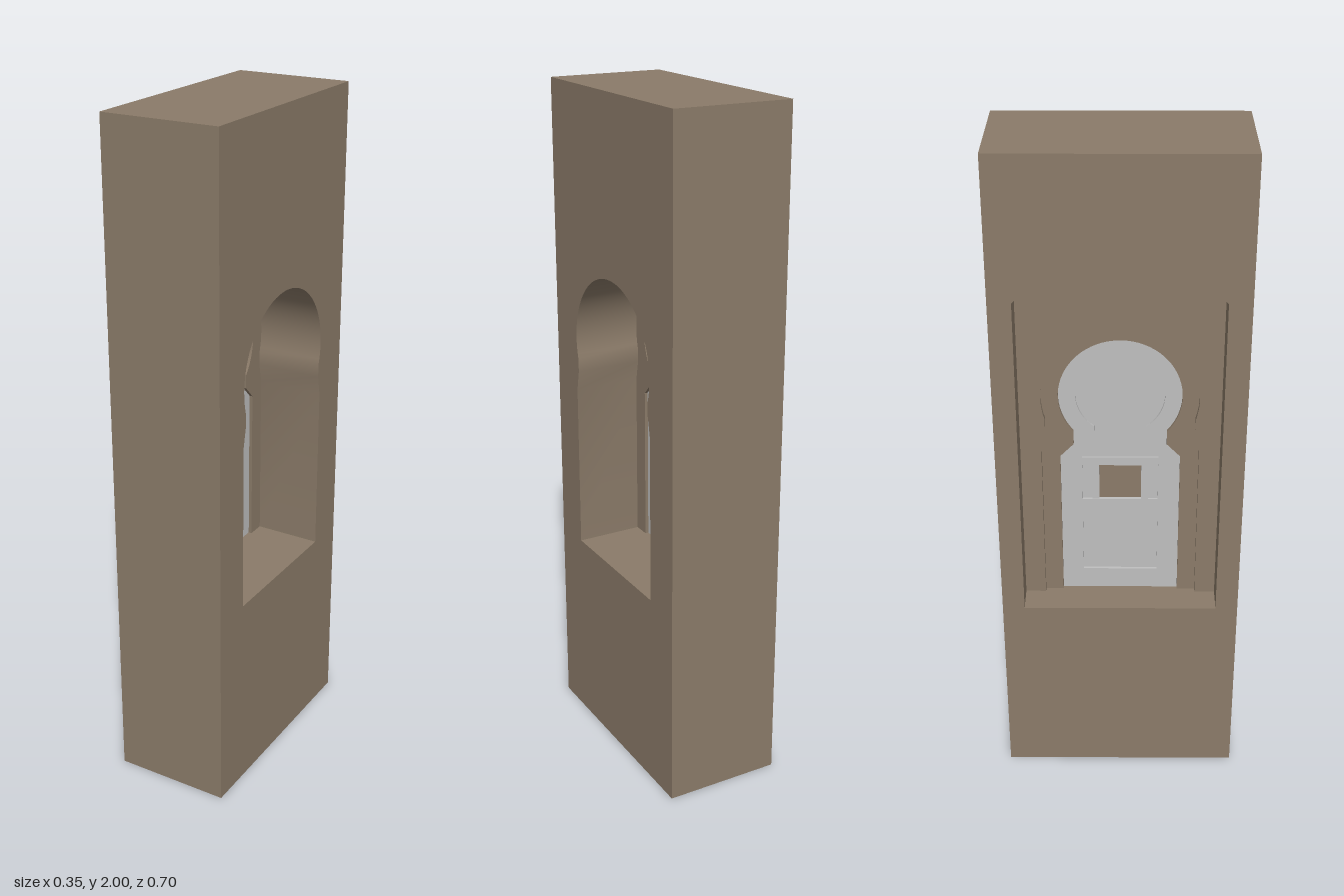
import * as THREE from 'three';
import { toCreasedNormals } from 'three/addons/utils/BufferGeometryUtils.js';

const SILL = 0.6, CENTRE = 1.265;

// Keyhole outline, open at the sill: straight jambs, narrow neck, round head
function keyhole(half, shoulder, neck, neckY, r, base = SILL) {
  const pts = [new THREE.Vector2(half, base), new THREE.Vector2(half, shoulder), new THREE.Vector2(neck, neckY)];
  const a = Math.acos(neck / r), n = 48;
  for (let i = 0; i <= n; i++) {
    const t = -a + (Math.PI + 2 * a) * i / n;
    pts.push(new THREE.Vector2(r * Math.cos(t), CENTRE + r * Math.sin(t)));
  }
  pts.push(new THREE.Vector2(-neck, neckY), new THREE.Vector2(-half, shoulder), new THREE.Vector2(-half, base));
  return pts;
}

// Wide niche outline with a shallow segmental arch
function niche(half, spring, rise) {
  const R = (half * half + rise * rise) / (2 * rise), a = Math.asin(half / R), n = 32;
  const pts = [new THREE.Vector2(half, SILL)];
  for (let i = 0; i <= n; i++) {
    const t = a - 2 * a * i / n;
    pts.push(new THREE.Vector2(R * Math.sin(t), spring + rise - R + R * Math.cos(t)));
  }
  pts.push(new THREE.Vector2(-half, SILL));
  return pts;
}

const rect = (x0, y0, x1, y1) => [[x1, y0], [x1, y1], [x0, y1], [x0, y0]].map(p => new THREE.Vector2(...p));

function shapeOf(outline, holes = []) {
  const s = new THREE.Shape(outline);
  holes.forEach(h => s.holes.push(new THREE.Path(h)));
  return s;
}

// Strip swept along the depth between z0 and z1
function sweep(outline, z0, z1, closed) {
  const pts = closed ? [...outline, outline[0]] : outline, pos = [];
  for (let i = 0; i < pts.length - 1; i++) {
    const p = pts[i], q = pts[i + 1];
    pos.push(p.x, p.y, z0, q.x, q.y, z0, q.x, q.y, z1, p.x, p.y, z0, q.x, q.y, z1, p.x, p.y, z1);
  }
  const g = new THREE.BufferGeometry();
  g.setAttribute('position', new THREE.Float32BufferAttribute(pos, 3));
  return toCreasedNormals(g, 0.4);
}

export function createModel() {
  const stone = new THREE.MeshStandardMaterial({ name: 'stone brown', color: 0x8b7b69, side: THREE.DoubleSide });
  const grey = new THREE.MeshStandardMaterial({ name: 'light grey', color: 0xbfbfbf, side: THREE.DoubleSide });

  const model = new THREE.Group();
  model.name = 'wallWithKeyholeWindow';
  const body = new THREE.Group();
  body.name = 'body';
  body.rotation.y = Math.PI / 2; // local depth runs along x
  model.add(body);

  const add = (name, geometry, material) => {
    const m = new THREE.Mesh(geometry, material);
    m.name = name;
    body.add(m);
    return m;
  };
  const face = (name, outline, holes, z) => {
    const g = new THREE.ShapeGeometry(shapeOf(outline, holes));
    if (z < -0.05) { // turn faces on the niche side outward
      g.rotateY(Math.PI);
    }
    add(name, g.translate(0, 0, z), stone);
  };
  const slab = (name, outline, holes, z0, z1, material = grey) =>
    add(name, new THREE.ExtrudeGeometry(shapeOf(outline, holes), { depth: z1 - z0, bevelEnabled: false }).translate(0, 0, z0), material);

  const wall = rect(-0.35, 0, 0.35, 2);
  const outer = keyhole(0.225, 1.1, 0.213, 1.16, 0.223);
  const middle = keyhole(0.172, 1.07, 0.133, 1.11, 0.175);
  const inner = keyhole(0.11, 1.07, 0.074, 1.11, 0.127, 0.667);
  const arch = niche(0.285, 1.595, 0.125);

  // Hollow wall, open underneath
  add('wallEndsAndTop', sweep(wall, -0.175, 0.175, false), stone);
  face('keyholeWallFace', wall, [outer], 0.175);
  face('nicheWallFace', wall, [arch], -0.175);

  // Openings and their stepped reveals
  add('keyholeReveal', sweep(outer, -0.025, 0.175, true), stone);
  face('keyholeStep', outer, [middle], -0.025);
  add('innerReveal', sweep(middle, -0.075, -0.025, true), stone);
  face('nicheStep', outer, [middle], -0.075);
  add('nicheStepReveal', sweep(outer, -0.09, -0.075, true), stone);
  face('nicheBack', arch, [outer], -0.09);
  add('nicheReveal', sweep(arch, -0.175, -0.09, true), stone);

  // Window leaf: frame, recessed panel and rails around a small hatch
  slab('leafFrame', middle, [inner], -0.065, -0.035);
  slab('leafPanel', inner, [rect(-0.062, 0.915, 0.062, 1.032)], -0.057, -0.043);
  for (const y of [0.89, 1.032]) slab('hatchRail', rect(-0.11, y, 0.11, y + 0.026), [], -0.063, -0.037);
  for (const s of [-1, 1]) slab('hatchStile', rect(s * 0.071 - 0.01, 0.916, s * 0.071 + 0.01, 1.032), [], -0.062, -0.038);
  slab('hatchPlate', rect(-0.064, 0.913, 0.064, 1.034), [], -0.053, -0.047, stone);

  return model;
}
